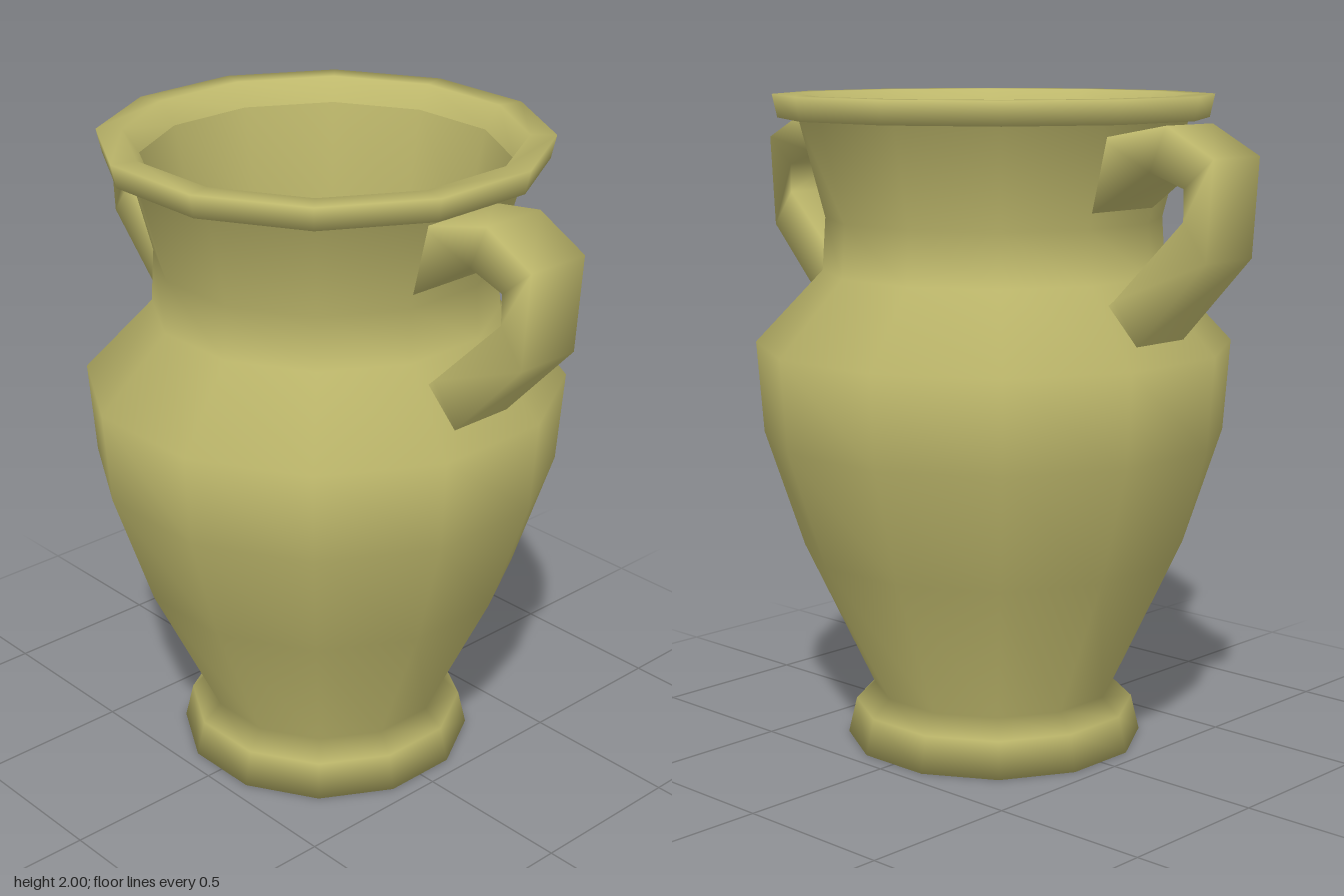
import * as THREE from 'three';

const material = new THREE.MeshStandardMaterial({ color: 0xbdb76b, side: THREE.DoubleSide });
const SIDES = 12;

// Twelve-sided turned shape; radii are measured to the middle of the flats
function turned(profile, name) {
  const k = 1 / Math.cos(Math.PI / SIDES);
  const points = profile.map(([r, y]) => new THREE.Vector2(r * k, y));
  const mesh = new THREE.Mesh(new THREE.LatheGeometry(points, SIDES, Math.PI / SIDES), material);
  mesh.name = name;
  return mesh;
}

// Four-cornered strap swept through sections: [outer x, outer y, inner x, inner y, half width]
function strap(sections) {
  const pos = [], index = [];
  sections.forEach(([ox, oy, ix, iy, w], i) => {
    pos.push(ox, oy, w, ox, oy, -w, ix, iy, -w, ix, iy, w);
    if (i === sections.length - 1) return;
    for (let j = 0; j < 4; j++) {
      const a = i * 4 + j, b = i * 4 + (j + 1) % 4;
      index.push(a, a + 4, b, b, a + 4, b + 4);
    }
  });
  const geometry = new THREE.BufferGeometry();
  geometry.setAttribute('position', new THREE.Float32BufferAttribute(pos, 3));
  geometry.setIndex(index);
  geometry.computeVertexNormals();
  return geometry;
}

export function createModel() {
  const group = new THREE.Group();
  group.name = 'vase';

  // Foot, belly, shoulder, neck and rim
  group.add(turned([
    [0, 0], [0.445, 0], [0.42, 0.11], [0.365, 0.165], [0.57, 0.61], [0.685, 0.97],
    [0.705, 1.25], [0.505, 1.47], [0.495, 1.63], [0.57, 1.93], [0.63, 1.93],
    [0.645, 2], [0.57, 2], [0.525, 1.93],
  ], 'body'));

  // Hollow inside, from the rim down to the floor
  group.add(turned([
    [0.525, 1.93], [0.46, 1.62], [0.45, 1.2], [0.42, 0.6], [0.33, 0.22], [0, 0.18],
  ], 'innerWall'));

  // Handles, flared where they meet the neck and the shoulder
  const handle = strap([
    [0.54, 1.89, 0.48, 1.66, 0.14],
    [0.745, 1.93, 0.69, 1.8, 0.105],
    [0.91, 1.845, 0.81, 1.76, 0.105],
    [0.89, 1.56, 0.81, 1.67, 0.105],
    [0.655, 1.31, 0.565, 1.43, 0.105],
    [0.62, 1.26, 0.52, 1.38, 0.14],
  ]);
  ['leftHandle', 'rightHandle'].forEach((name, i) => {
    const mesh = new THREE.Mesh(handle, material);
    mesh.name = name;
    mesh.rotation.y = i * Math.PI;
    group.add(mesh);
  });

  return group;
}
